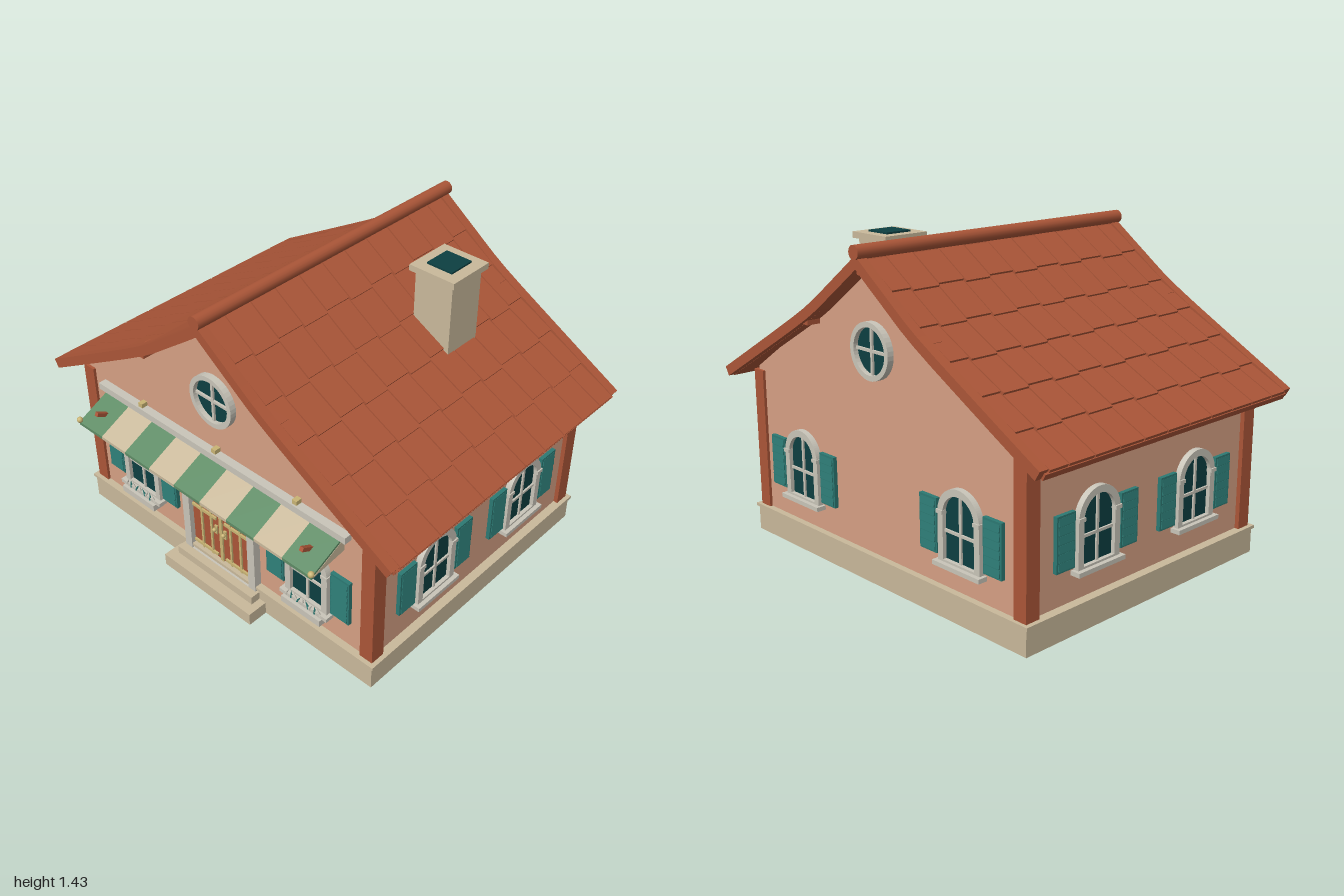
import * as THREE from 'three';
import { mergeGeometries } from 'three/addons/utils/BufferGeometryUtils.js';

const mat = (name, color, side = THREE.FrontSide) => {
  const m = new THREE.MeshStandardMaterial({ color, side });
  m.name = name;
  return m;
};

export function createModel() {
  const house = new THREE.Group();
  house.name = 'house';
  const plaster = mat('plaster', 0xd6a084), clay = mat('terracotta', 0xab5638), tan = mat('tanStone', 0xc9b99b);
  const teal = mat('tealPaint', 0x2c7973), glass = mat('darkGlass', 0x0d3f41), stone = mat('paleStone', 0xc9c5b9);
  const green = mat('greenCloth', 0x5f8c66), brass = mat('brass', 0xc9b474);

  const add = (parent, name, geo, m, x = 0, y = 0, z = 0) => {
    const mesh = new THREE.Mesh(geo, m);
    mesh.name = name;
    mesh.position.set(x, y, z);
    parent.add(mesh);
    return mesh;
  };
  // Box given by its lower and upper bounds
  const span = (parent, name, m, x0, x1, y0, y1, z0, z1) =>
    add(parent, name, new THREE.BoxGeometry(x1 - x0, y1 - y0, z1 - z0), m, (x0 + x1) / 2, (y0 + y1) / 2, (z0 + z1) / 2);
  const extrude = (shape, depth) =>
    new THREE.ExtrudeGeometry(shape, { depth, bevelEnabled: false, curveSegments: 20 });
  const polygon = pts => new THREE.Shape(pts.map(p => new THREE.Vector2(p[0], p[1])));
  const group = (parent, name, x = 0, y = 0, z = 0, turn = 0) => {
    const g = new THREE.Group();
    g.name = name;
    g.position.set(x, y, z);
    g.rotation.y = turn;
    parent.add(g);
    return g;
  };
  // Round-topped opening with half width r, from y0 up to a spring line
  const arch = (r, y0, spring, Type = THREE.Shape) => {
    const s = new Type();
    s.moveTo(-r, y0);
    s.lineTo(r, y0);
    s.lineTo(r, spring);
    s.absarc(0, spring, r, 0, Math.PI, false);
    s.lineTo(-r, y0);
    return s;
  };
  const archFrame = (outer, inner, y0, y1, spring, depth) => {
    const s = arch(outer, y0, spring);
    s.holes.push(arch(inner, y1, spring, THREE.Path));
    return extrude(s, depth);
  };

  // Plinth and steps
  span(house, 'plinth', tan, -0.875, 0.875, 0, 0.115, -0.76, 0.648);
  span(house, 'plinthLip', tan, -0.885, 0.885, 0.112, 0.126, -0.767, 0.655);
  span(house, 'lowerStep', tan, -0.272, 0.272, 0, 0.06, 0.6, 0.745);
  span(house, 'upperStep', tan, -0.235, 0.235, 0.06, 0.1, 0.6, 0.695);

  // Walls with gables, and corner posts
  const wall = polygon([[-0.845, 0.12], [0.845, 0.12], [0.845, 0.785], [0, 1.335], [-0.845, 0.785]]);
  add(house, 'walls', extrude(wall, 1.36), plaster, 0, 0, -0.738);
  for (const s of [-1, 1]) for (const z of [0.6, -0.716])
    add(house, 'cornerPost', new THREE.BoxGeometry(0.066, 0.645, 0.07), clay, s * 0.832, 0.4475, z);

  // Roof: a slightly flared profile shared by slab, verges and tiles
  const profile = new THREE.SplineCurve([[0, 1.39], [0.18, 1.257], [0.36, 1.13], [0.68, 0.945], [0.995, 0.767]]
    .map(p => new THREE.Vector2(...p)));
  const roofBand = (drop, thick) => {
    const top = profile.getPoints(12).map(p => [p.x, p.y - drop]);
    const low = top.map(([x, y], i) => i ? [x - thick * 0.5, y - thick * 0.85] : [0, y - thick * 1.2]).reverse();
    const right = [...top, ...low];
    const left = [...top.slice(1).map(([x, y]) => [-x, y]).reverse()];
    const lowLeft = low.slice(0, -1).map(([x, y]) => [-x, y]);
    return polygon([...right, ...lowLeft.reverse(), ...left]);
  };
  const roof = group(house, 'roof', 0, 0, -0.06);
  add(roof, 'roofSlab', extrude(roofBand(0.018, 0.03), 1.46), clay, 0, 0, -0.73);
  for (const z of [-0.76, 0.715]) add(roof, 'vergeBoard', extrude(roofBand(0, 0.045), 0.045), clay, 0, 0, z);
  const ridge = add(roof, 'ridgeRoll', new THREE.CylinderGeometry(0.03, 0.03, 1.535, 16), clay, 0, 1.402, 0);
  ridge.rotation.x = Math.PI / 2;

  // Overlapping tiles in six rows, the lower edge of each tile lifted
  const cuts = [-0.715, ...Array.from({ length: 10 }, (_, i) => -0.617 + i * 0.137), 0.715];
  const tiles = [];
  for (let row = 0; row < 6; row++) {
    const a = profile.getPointAt(row / 6), b = profile.getPointAt((row + 1) / 6);
    const length = a.distanceTo(b), angle = Math.atan2(b.y - a.y, b.x - a.x);
    for (let c = 0; c < cuts.length - 1; c++) {
      const tile = new THREE.BoxGeometry(length + 0.006, 0.014, cuts[c + 1] - cuts[c] - 0.006);
      tile.rotateZ(0.05);
      tile.translate((c % 2) * (row < 5 ? 0.012 : 0) - 0.004, 0, 0);
      tile.rotateZ(angle);
      tile.translate((a.x + b.x) / 2, (a.y + b.y) / 2 - 0.014, (cuts[c] + cuts[c + 1]) / 2);
      tiles.push(tile);
    }
  }
  const tileGeo = mergeGeometries(tiles);
  add(roof, 'rightTiles', tileGeo, clay);
  add(roof, 'leftTiles', tileGeo, clay).rotation.y = Math.PI;

  // Purlin ends at the gables and rafter tails at the eaves
  for (const [x, y] of [[-0.38, 1.08], [0, 1.335], [0.38, 1.08]])
    for (const z of [0.645, -0.765]) add(house, 'purlinEnd', new THREE.BoxGeometry(0.034, 0.05, 0.07), clay, x, y, z);
  for (const s of [-1, 1]) for (const z of [0.45, 0.125, -0.24, -0.565])
    add(house, 'rafterTail', new THREE.BoxGeometry(0.1, 0.042, 0.03), clay, s * 0.872, 0.737, z);

  // Chimney
  span(house, 'chimneyStack', tan, 0.32, 0.51, 0.98, 1.37, -0.41, -0.22);
  span(house, 'chimneyCap', tan, 0.3, 0.53, 1.362, 1.39, -0.43, -0.2);
  span(house, 'chimneyFlue', glass, 0.35, 0.478, 1.388, 1.398, -0.382, -0.252);

  // Arched window with sill and louvred shutters, facing local +z
  const archWindow = (x, y, z, turn, planter) => {
    const w = group(house, 'archedWindow', x, y, z, turn);
    add(w, 'windowGlass', extrude(arch(0.09, 0.245, 0.44), 0.008), glass);
    add(w, 'windowFrame', archFrame(0.118, 0.088, 0.24, 0.252, 0.44, 0.026), stone);
    span(w, 'mullion', stone, -0.006, 0.006, 0.25, 0.53, 0, 0.016);
    span(w, 'glazingBar', stone, -0.09, 0.09, 0.364, 0.376, 0, 0.016);
    span(w, 'sill', stone, -0.133, 0.133, 0.224, 0.243, 0, 0.045);
    for (const s of [-1, 1]) {
      add(w, 'impost', new THREE.BoxGeometry(0.036, 0.016, 0.032), stone, s * 0.104, 0.445, 0.016);
      const shutter = group(w, 'shutter', s * 0.181, 0.375, 0);
      add(shutter, 'shutterPanel', new THREE.BoxGeometry(0.1, 0.228, 0.018), teal, 0, 0, 0.011);
      for (let i = 0; i < 6; i++)
        add(shutter, 'louvre', new THREE.BoxGeometry(0.084, 0.03, 0.008), teal, 0, -0.09 + i * 0.036, 0.02).rotation.x = -0.18;
    }
    if (!planter) return;
    span(w, 'planter', stone, -0.108, 0.108, 0.194, 0.226, 0, 0.06);
    for (let i = 0; i < 9; i++) {
      const sprig = add(w, 'sprig', new THREE.ConeGeometry(0.007, 0.04, 5), i % 2 ? teal : stone, -0.088 + i * 0.022, 0.25, 0.042);
      sprig.rotation.z = (i % 3 - 1) * 0.5;
    }
  };
  for (const s of [-1, 1]) {
    archWindow(s * 0.512, 0, 0.622, 0, true);
    archWindow(s * 0.512, 0, -0.738, Math.PI, false);
    for (const z of [0.242, -0.361]) archWindow(s * 0.845, 0.012, z, s * Math.PI / 2, false);
  }

  // Round gable windows
  for (const [z, turn] of [[0.622, 0], [-0.738, Math.PI]]) {
    const w = group(house, 'roundWindow', 0, 1.002, z, turn);
    const ring = new THREE.Shape().absarc(0, 0, 0.12, 0, Math.PI * 2, false);
    ring.holes.push(new THREE.Path().absarc(0, 0, 0.098, 0, Math.PI * 2, true));
    add(w, 'roundFrame', extrude(ring, 0.03), stone);
    add(w, 'roundGlass', extrude(new THREE.Shape().absarc(0, 0, 0.1, 0, Math.PI * 2, false), 0.008), glass);
    span(w, 'roundMullion', stone, -0.006, 0.006, -0.1, 0.1, 0, 0.018);
    span(w, 'roundBar', stone, -0.1, 0.1, -0.006, 0.006, 0, 0.018);
  }

  // Double door with brass fittings
  const door = group(house, 'door', 0, 0, 0.622);
  add(door, 'doorLeaves', extrude(arch(0.182, 0.1, 0.42), 0.012), clay);
  add(door, 'doorFrame', archFrame(0.222, 0.18, 0.1, 0.1005, 0.418, 0.036), stone);
  span(door, 'centreStrip', brass, -0.009, 0.009, 0.12, 0.565, 0.01, 0.02);
  for (const s of [-1, 1]) {
    add(door, 'doorImpost', new THREE.BoxGeometry(0.05, 0.018, 0.042), stone, s * 0.202, 0.432, 0.021);
    for (const y of [0.148, 0.358]) add(door, 'strap', new THREE.BoxGeometry(0.15, 0.013, 0.009), brass, s * 0.1, y, 0.018);
    for (const x of [0.06, 0.12]) add(door, 'doorRib', new THREE.BoxGeometry(0.011, 0.27, 0.008), brass, s * x, 0.267, 0.016);
    add(door, 'ribCap', new THREE.BoxGeometry(0.075, 0.012, 0.008), brass, s * 0.09, 0.406, 0.016);
    add(door, 'handlePlate', new THREE.BoxGeometry(0.016, 0.045, 0.008), brass, s * 0.028, 0.295, 0.018);
    add(door, 'knob', new THREE.SphereGeometry(0.01, 10, 8), brass, s * 0.028, 0.3, 0.03);
    // Wall lantern
    const lamp = group(house, 'wallLantern', s * 0.245, 0.49, 0.622);
    span(lamp, 'lanternArm', brass, -0.008, 0.008, 0.02, 0.034, 0, 0.045);
    add(lamp, 'lanternBody', new THREE.CylinderGeometry(0.017, 0.011, 0.045, 6), brass, 0, -0.005, 0.048);
    add(lamp, 'lanternCap', new THREE.ConeGeometry(0.021, 0.022, 6), brass, 0, 0.029, 0.048);
  }

  // Striped awning on a wall rail
  const awning = group(house, 'awning');
  span(awning, 'awningRail', stone, -0.733, 0.733, 0.71, 0.742, 0.62, 0.66);
  for (const x of [-0.46, 0, 0.46]) add(awning, 'railBracket', new THREE.BoxGeometry(0.024, 0.024, 0.03), brass, x, 0.75, 0.637);
  const cloth = polygon([[0.635, 0.71], [0.81, 0.627], [0.81, 0.612], [0.8, 0.612], [0.8, 0.62], [0.635, 0.698]]);
  for (let i = 0; i < 9; i++) {
    const stripe = add(awning, 'awningStripe', extrude(cloth, 1.4 / 9), i % 2 ? tan : green, -0.7 + (i + 1) * 1.4 / 9, 0, 0);
    stripe.rotation.y = -Math.PI / 2;
  }
  const flap = extrude(polygon([[0.625, 0.7], [0.625, 0.637], [0.806, 0.614]]), 0.004);
  for (const s of [-1, 1]) {
    add(awning, 'awningSide', flap, tan, s * 0.698 + 0.002, 0, 0).rotation.y = -Math.PI / 2;
    add(awning, 'awningFinial', new THREE.SphereGeometry(0.014, 12, 10), brass, s * 0.697, 0.638, 0.808);
    const peg = add(awning, 'awningPeg', new THREE.BoxGeometry(0.018, 0.018, 0.065), clay, s * 0.615, 0.676, 0.746);
    peg.rotation.x = -0.5;
  }
  return house;
}
